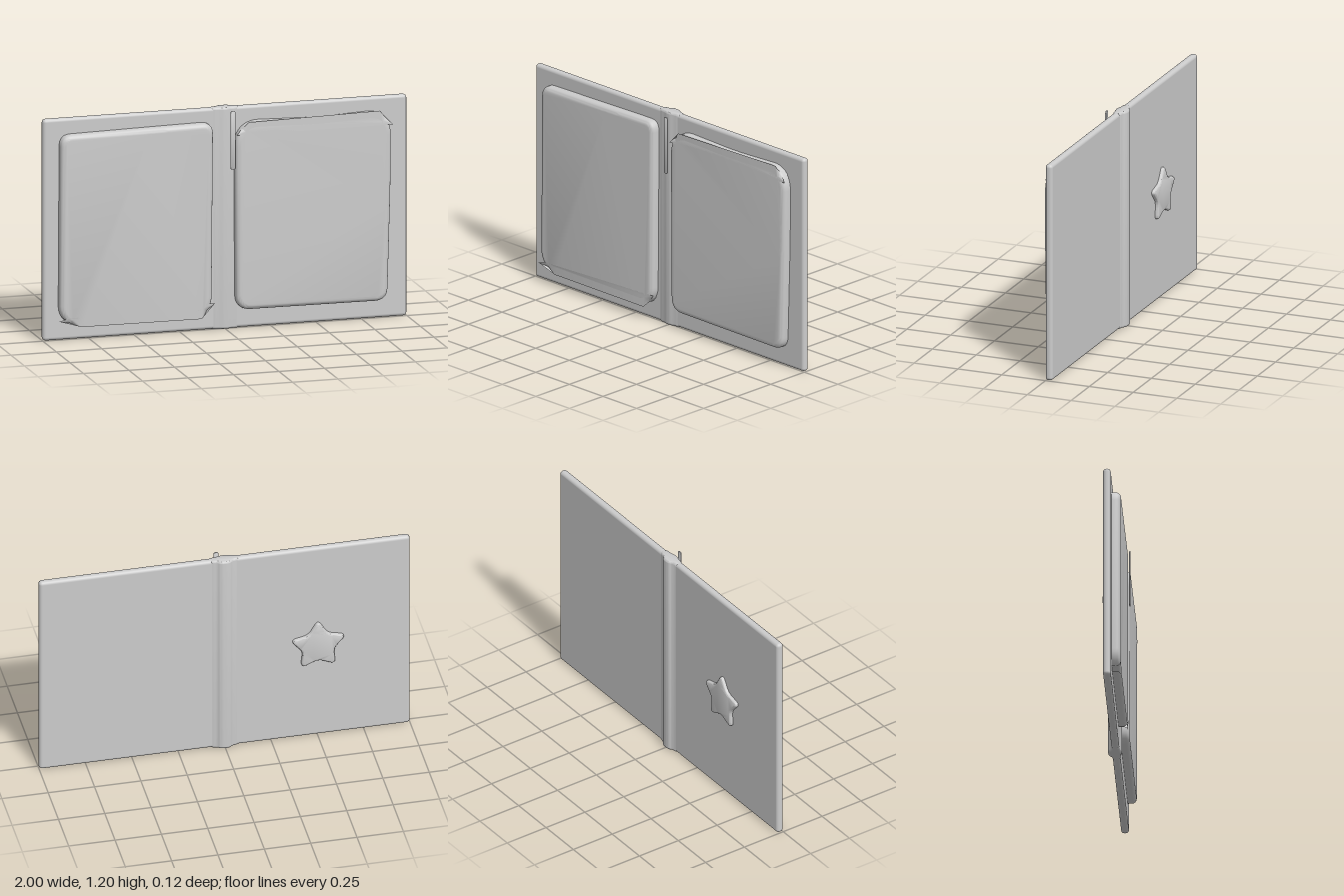
import * as THREE from 'three';
import { toCreasedNormals } from 'three/addons/utils/BufferGeometryUtils.js';
import { RoundedBoxGeometry } from 'three/addons/geometries/RoundedBoxGeometry.js';

// Closed outline through corners [x, y, radius], each corner softened by a curve
function softOutline(corners) {
  const shape = new THREE.Shape();
  corners.forEach(([x, y, r], i) => {
    const p = new THREE.Vector2(x, y);
    const toward = (c) => new THREE.Vector2(c[0], c[1]).sub(p).setLength(r).add(p);
    const a = toward(corners.at(i - 1));
    const b = toward(corners[(i + 1) % corners.length]);
    if (i === 0) shape.moveTo(a.x, a.y);
    else shape.lineTo(a.x, a.y);
    shape.quadraticCurveTo(x, y, b.x, b.y);
  });
  shape.closePath();
  return shape;
}

// Extrusion with rounded rims that stays inside its outline, from z = 0 to depth
function softSlab(shape, depth, rim, rimDepth, curveSegments = 8) {
  const geo = new THREE.ExtrudeGeometry(shape, {
    depth: depth - 2 * rimDepth,
    bevelEnabled: true,
    bevelSize: rim,
    bevelOffset: -rim,
    bevelThickness: rimDepth,
    bevelSegments: 6,
    curveSegments,
  });
  geo.translate(0, 0, rimDepth);
  return toCreasedNormals(geo, 0.7);
}

export function createModel() {
  const book = new THREE.Group();
  book.name = 'openBook';
  const grey = new THREE.MeshStandardMaterial({ color: 0xcccccc });
  grey.name = 'lightGrey';

  const add = (name, geo) => {
    const mesh = new THREE.Mesh(geo, grey);
    mesh.name = name;
    book.add(mesh);
    return mesh;
  };

  // Cover lying open as one flat board
  add('cover', new RoundedBoxGeometry(2, 1.2, 0.041, 4, 0.018)).position.set(0, 0.6, -0.016);

  // Spine: soft ridge, high on the back and low on the front
  const half = [[0, 0.058], [0.026, 0.054], [0.043, 0.042], [0.072, 0.033], [0.072, 0], [0.035, -0.008], [0, -0.015]];
  const ring = [...half, ...half.slice(1, -1).reverse().map(([x, y]) => [-x, y])].reverse();
  const spineCurve = new THREE.CatmullRomCurve3(ring.map(([x, y]) => new THREE.Vector3(x, y, 0)), true);
  const spineShape = new THREE.Shape(spineCurve.getPoints(40).slice(0, -1).map((p) => new THREE.Vector2(p.x, p.y)));
  const spine = softSlab(spineShape, 1.2, 0.008, 0.012);
  spine.rotateX(-Math.PI / 2);
  add('spine', spine);

  // Page blocks, slightly uneven and padded, sunk a little into the cover
  const pages = {
    rightPages: [
      [-0.918, 0.11, 0.08], [-0.85, 0.09, 0.04], [-0.13, 0.088, 0.05], [-0.083, 0.14, 0.05],
      [-0.075, 1.128, 0.06], [-0.35, 1.124, 0.1], [-0.912, 1.114, 0.06],
    ],
    leftPages: [
      [0.052, 0.104, 0.08], [0.882, 0.1, 0.07], [0.9, 0.72, 0.1], [0.902, 1.06, 0.06],
      [0.84, 1.128, 0.06], [0.5, 1.113, 0.1], [0.12, 1.124, 0.06], [0.046, 1.05, 0.06],
    ],
  };
  for (const [name, corners] of Object.entries(pages)) {
    add(name, softSlab(softOutline(corners), 0.078, 0.028, 0.025)).position.z = -0.025;
  }

  // Bookmark strip in front of the gutter
  const strip = [[0.014, 0.872, 0.013], [0.041, 0.872, 0.013], [0.041, 1.19, 0.013], [0.014, 1.19, 0.013]];
  add('bookmark', softSlab(softOutline(strip), 0.007, 0.002, 0.002)).position.z = 0.053;

  // Padded star on the back cover
  const star = [];
  for (let i = 0; i < 10; i++) {
    const a = Math.PI / 2 + (i * Math.PI) / 5;
    const r = i % 2 ? 0.088 : 0.16;
    star.push([r * Math.cos(a), r * Math.sin(a), i % 2 ? 0.03 : 0.036]);
  }
  const starMesh = add('backStar', softSlab(softOutline(star), 0.034, 0.012, 0.012));
  starMesh.rotation.y = Math.PI;
  starMesh.position.set(-0.502, 0.58, -0.022);

  return book;
}
